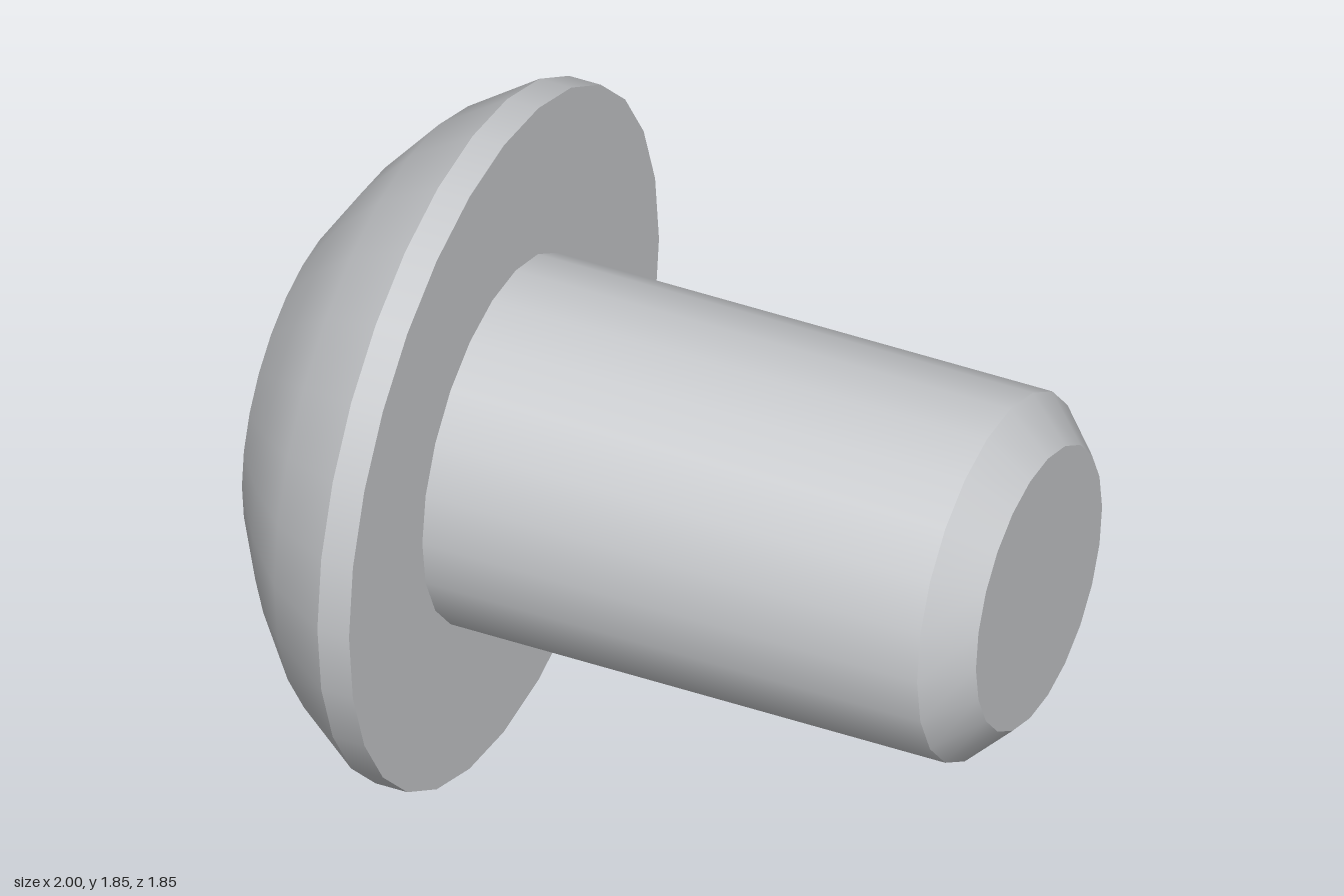
import * as THREE from 'three';

export function createModel() {
  const steel = new THREE.MeshStandardMaterial({ color: 0xc8cacd });
  steel.name = 'steel grey';

  const HEAD_SIDES = 28, SHANK_SIDES = 22;
  const HEAD_R = 0.924, FACE_R = 0.462, SHANK_R = 0.487, TIP_R = 0.376;
  const HEX_R = 0.332, HEX_DEPTH = 0.3;

  // The bolt is turned around local y, then laid down so that y points to +x.
  const bolt = new THREE.Group();
  bolt.name = 'bolt';
  bolt.rotation.z = -Math.PI / 2;
  bolt.position.y = HEAD_R;

  const add = (name, geometry) => {
    const mesh = new THREE.Mesh(geometry, steel);
    mesh.name = name;
    bolt.add(mesh);
  };
  // Each band is its own lathe, so edges between bands stay sharp.
  const turn = (name, sides, profile) =>
    add(name, new THREE.LatheGeometry(profile.map(([r, y]) => new THREE.Vector2(r, y)), sides));

  // Head
  turn('headDome', HEAD_SIDES, [[FACE_R, -1], [0.645, -0.885], [0.805, -0.75], [HEAD_R, -0.575]]);
  turn('headRim', HEAD_SIDES, [[HEAD_R, -0.575], [HEAD_R, -0.487]]);
  turn('headUnderside', HEAD_SIDES, [[HEAD_R, -0.487], [SHANK_R - 0.02, -0.487]]);

  // Shank with chamfered tip
  turn('shank', SHANK_SIDES, [[SHANK_R, -0.487], [SHANK_R, 0.888]]);
  turn('tipChamfer', SHANK_SIDES, [[SHANK_R, 0.888], [TIP_R, 1]]);
  turn('tipFace', SHANK_SIDES, [[TIP_R, 1], [0, 1]]);

  // Flat head face with a hexagonal hole
  const ring = (radius, sides) => Array.from({ length: sides }, (_, i) => {
    const a = (i / sides) * Math.PI * 2;
    return new THREE.Vector2(radius * Math.cos(a), radius * Math.sin(a));
  });
  const face = new THREE.Shape(ring(FACE_R, HEAD_SIDES));
  face.holes.push(new THREE.Path(ring(HEX_R, 6)));
  add('headFace', new THREE.ShapeGeometry(face).rotateX(Math.PI / 2).translate(0, -1, 0));

  // Hexagonal socket: flat inward walls and a floor
  const walls = new THREE.LatheGeometry(
    [new THREE.Vector2(HEX_R, -1 + HEX_DEPTH), new THREE.Vector2(HEX_R, -1)], 6, Math.PI / 2
  ).toNonIndexed();
  // Reverse each triangle so the walls face the axis
  const p = walls.attributes.position;
  const a = new THREE.Vector3(), b = new THREE.Vector3();
  const outward = new THREE.Vector3();
  for (let i = 0; i < p.count; i += 3) {
    a.fromBufferAttribute(p, i);
    b.fromBufferAttribute(p, i + 1).sub(a);
    outward.fromBufferAttribute(p, i + 2).sub(a);
    const normal = b.cross(outward);
    if (normal.x * a.x + normal.z * a.z > 0) {
      const c = new THREE.Vector3().fromBufferAttribute(p, i + 1);
      const d = new THREE.Vector3().fromBufferAttribute(p, i + 2);
      p.setXYZ(i + 1, d.x, d.y, d.z);
      p.setXYZ(i + 2, c.x, c.y, c.z);
    }
  }
  walls.computeVertexNormals();
  add('socketWalls', walls);
  add('socketFloor', new THREE.CircleGeometry(HEX_R, 6).rotateX(Math.PI / 2).translate(0, -1 + HEX_DEPTH, 0));

  const model = new THREE.Group();
  model.name = 'buttonHeadBolt';
  model.add(bolt);
  return model;
}
